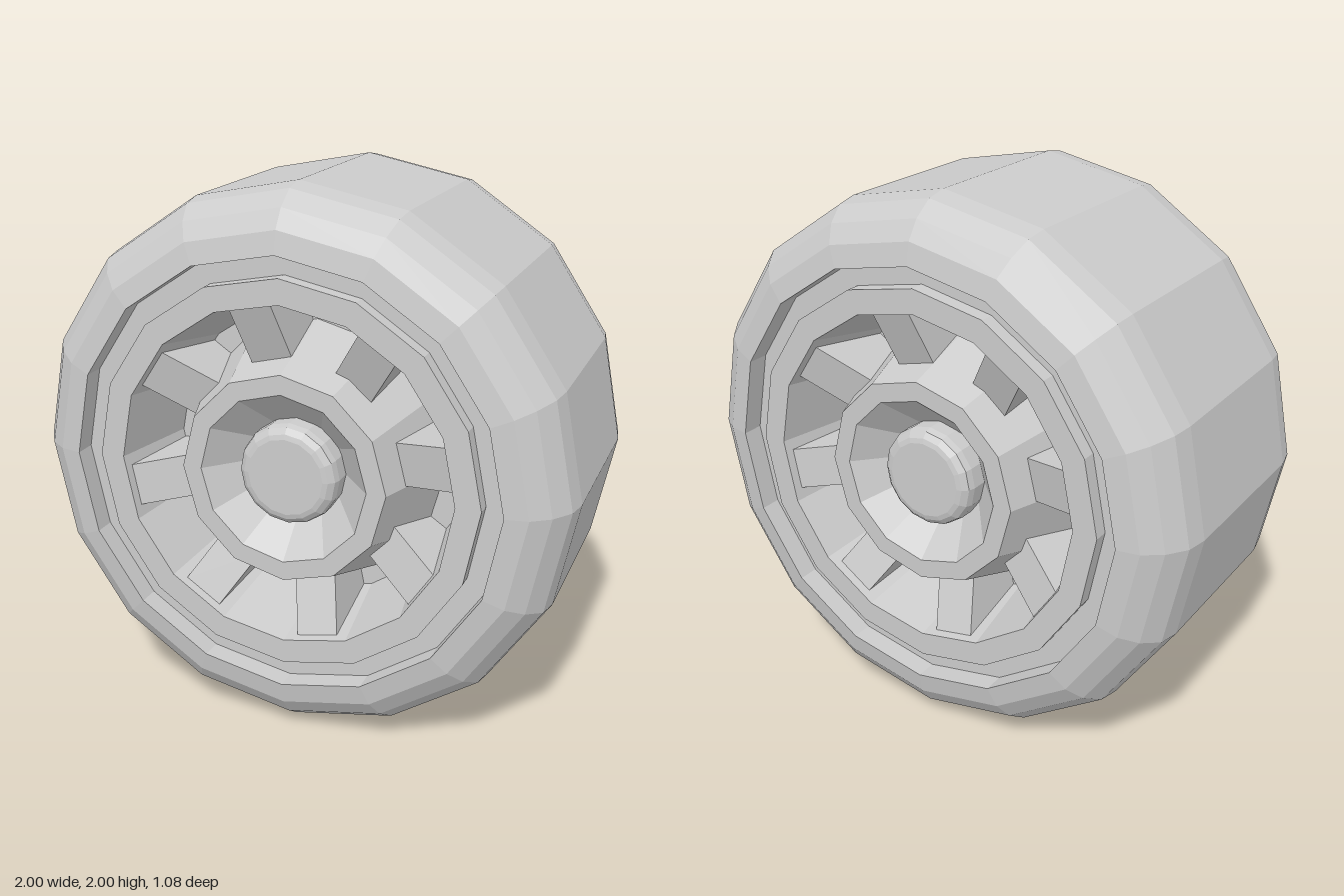
import * as THREE from 'three';

const material = new THREE.MeshStandardMaterial({ color: 0xcccccc, flatShading: true });

// Revolve [radius, z] points around the z axis
function turned(name, sides, points) {
  const geometry = new THREE.LatheGeometry(points.map(([r, z]) => new THREE.Vector2(r, z)), sides);
  geometry.rotateX(Math.PI / 2);
  const mesh = new THREE.Mesh(geometry, material);
  mesh.name = name;
  return mesh;
}

// Block between rim and hub, its outer end nearer the face than its inner end
function spokeGeometry() {
  const inner = 0.37, outer = 0.605, width = 0.155, base = 0.16;
  const side = new THREE.Shape([
    new THREE.Vector2(inner, base),
    new THREE.Vector2(outer - 0.05, base),
    new THREE.Vector2(outer, 0.485),
    new THREE.Vector2(inner, 0.39),
  ]);
  const geometry = new THREE.ExtrudeGeometry(side, { depth: width, bevelEnabled: false });
  geometry.translate(0, 0, -width / 2);
  geometry.rotateX(Math.PI / 2);
  return geometry;
}

// One face of the wheel, from the mid plane to z = 0.54
function wheelHalf() {
  const half = new THREE.Group();

  half.add(turned('tire', 16, [
    [1, 0], [1, 0.33], [0.985, 0.41], [0.935, 0.48], [0.87, 0.525],
    [0.79, 0.54], [0.79, 0.46], [0.69, 0.46],
  ]));
  half.add(turned('rim', 16, [
    [0.71, 0.45], [0.71, 0.515], [0.62, 0.515], [0.555, 0.18], [0.42, 0.18],
  ]));
  half.add(turned('hub', 12, [
    [0.49, 0.18], [0.38, 0.51], [0.31, 0.51], [0.18, 0.37], [0, 0.37],
  ]));
  half.add(turned('hubCap', 16, [
    [0.185, 0.36], [0.185, 0.435], [0.178, 0.46], [0.158, 0.477], [0.14, 0.482], [0, 0.482],
  ]));

  // Eight spokes
  const geometry = spokeGeometry();
  for (let i = 0; i < 8; i++) {
    const spoke = new THREE.Mesh(geometry, material);
    spoke.name = 'spoke';
    spoke.rotation.z = Math.PI / 16 + (i * Math.PI) / 4;
    half.add(spoke);
  }
  return half;
}

export function createModel() {
  const wheel = new THREE.Group();
  wheel.name = 'wheel';

  const front = wheelHalf();
  front.name = 'frontHalf';
  const back = wheelHalf();
  back.name = 'backHalf';
  back.rotation.y = Math.PI;

  wheel.add(front, back);
  wheel.position.y = 1;

  const model = new THREE.Group();
  model.add(wheel);
  return model;
}
